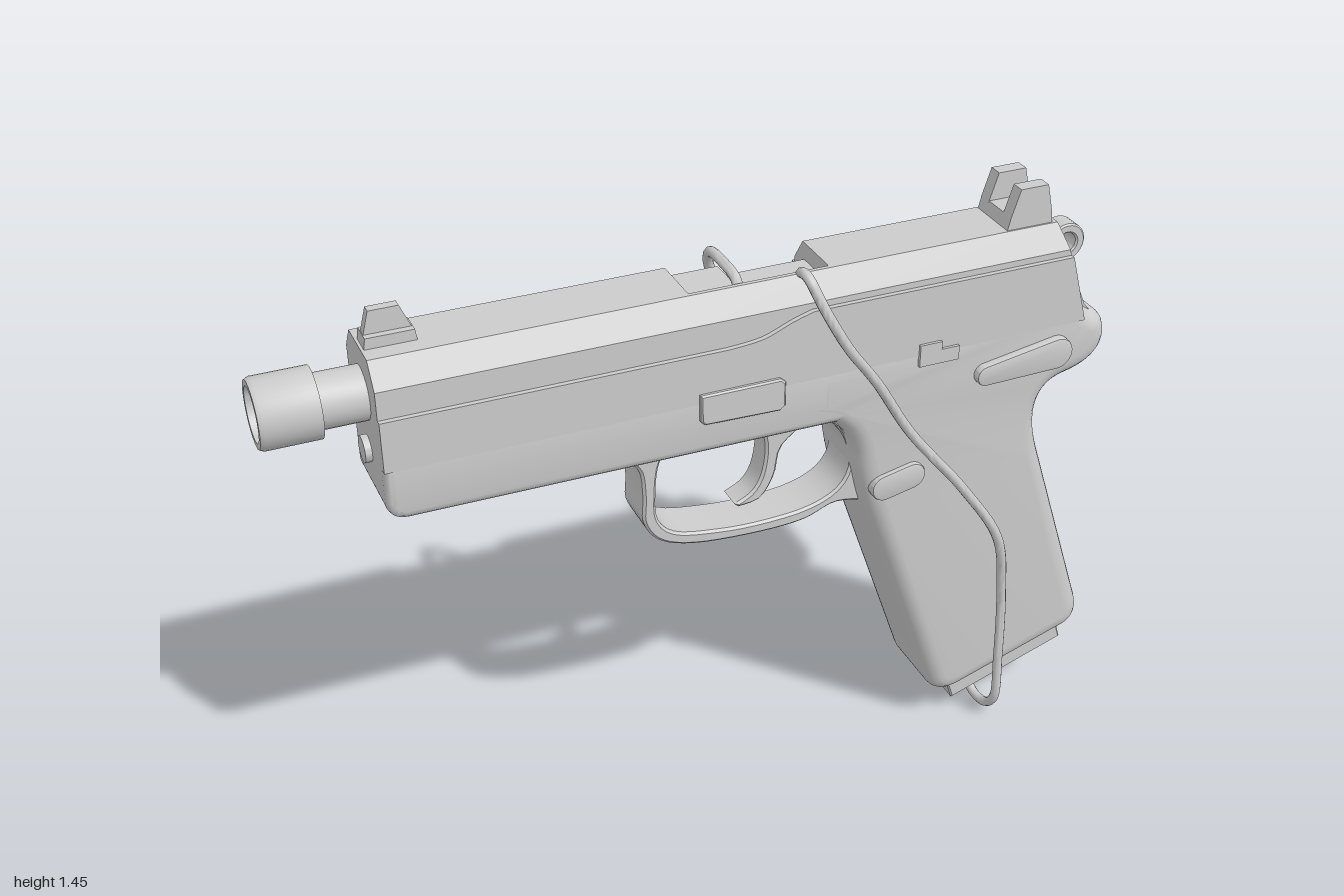
import * as THREE from 'three';
import { toCreasedNormals } from 'three/addons/utils/BufferGeometryUtils.js';

const V = (x, y, z) => new THREE.Vector3(x, y, z);
const poly = (pts) => new THREE.Shape(pts.map(([x, y]) => new THREE.Vector2(x, y)));
const smooth = (pts, n = 40) =>
  new THREE.SplineCurve(pts.map(([x, y]) => new THREE.Vector2(x, y))).getPoints(n);

export function createModel() {
  const model = new THREE.Group();
  const mat = new THREE.MeshStandardMaterial({ color: 0xcccccc });

  function add(name, geo, crease = 0.6) {
    const mesh = new THREE.Mesh(toCreasedNormals(geo, crease), mat);
    mesh.name = name;
    model.add(mesh);
    return mesh;
  }
  // Side outline in x-y, extruded from z0 to z1 with a bevel kept inside the outline
  function plate(name, shape, z0, z1, bevel = 0, segs = 1) {
    const geo = new THREE.ExtrudeGeometry(shape, {
      depth: z1 - z0 - 2 * bevel, curveSegments: 14, bevelEnabled: bevel > 0,
      bevelThickness: bevel, bevelSize: bevel, bevelOffset: -bevel, bevelSegments: segs,
    });
    return add(name, geo.translate(0, 0, z0 + bevel));
  }
  // Cross-section given as [z, y], extruded along x; the rear end may slope
  function rail(name, pts, x0, x1, slope = 0) {
    const geo = new THREE.ExtrudeGeometry(poly(pts.map(([z, y]) => [-z, y])),
      { depth: x1 - x0, bevelEnabled: false });
    geo.rotateY(Math.PI / 2).translate(x0, 0, 0);
    const p = geo.attributes.position;
    for (let i = 0; i < p.count; i++) {
      if (p.getX(i) > x1 - 0.001) p.setX(i, x1 - (p.getY(i) - 1.13) * slope);
    }
    return add(name, geo, 0.3);
  }
  // Cylinder along x
  function rod(name, r, x0, x1, y) {
    const geo = new THREE.CylinderGeometry(r, r, x1 - x0, 32).rotateZ(Math.PI / 2);
    return add(name, geo.translate((x0 + x1) / 2, y, 0));
  }

  // Frame under the slide
  const frame = new THREE.Shape();
  frame.moveTo(-0.77, 1.14);
  frame.lineTo(-0.77, 1.04);
  frame.quadraticCurveTo(-0.77, 0.995, -0.72, 0.995);
  frame.lineTo(0.6, 0.985);
  frame.lineTo(0.86, 1.0);
  frame.lineTo(0.88, 1.14);
  plate('frame', frame, -0.119, 0.119, 0.02, 3);

  // Grip with rear tang
  const grip = new THREE.Shape();
  grip.moveTo(0.2, 1.14);
  grip.lineTo(0.2, 0.995);
  grip.quadraticCurveTo(0.31, 0.985, 0.33, 0.87);
  grip.quadraticCurveTo(0.345, 0.77, 0.375, 0.69);
  grip.lineTo(0.565, 0.15);
  grip.quadraticCurveTo(0.585, 0.08, 0.66, 0.105);
  grip.lineTo(0.95, 0.2);
  grip.quadraticCurveTo(1.01, 0.22, 0.99, 0.29);
  grip.lineTo(0.825, 0.78);
  grip.quadraticCurveTo(0.77, 0.95, 0.87, 0.97);
  grip.quadraticCurveTo(0.97, 0.99, 0.975, 1.06);
  grip.quadraticCurveTo(0.975, 1.11, 0.94, 1.125);
  grip.quadraticCurveTo(0.9, 1.14, 0.88, 1.19);
  grip.lineTo(0.7, 1.19);
  grip.lineTo(0.5, 1.14);
  plate('grip', grip, -0.12, 0.12, 0.045, 5);

  // Slide sides: the ledge rises in a curve on the left, in a step on the right
  const bottom = [[-0.77, 1.12], [0.9, 1.12], [0.852, 1.29]];
  const ramp = smooth([[0.2, 1.29], [0.15, 1.275], [0.08, 1.248], [0.0, 1.24]], 12).map((p) => [p.x, p.y]);
  plate('slideSideLeft', poly([...bottom, ...ramp, [-0.77, 1.24]]), 0, 0.121);
  plate('slideSideRight', poly([...bottom, [0.26, 1.29], [0.26, 1.24], [-0.77, 1.24]]), -0.121, 0);

  // Slide top, opened at the ejection port
  const crown = [[0.109, 1.13], [0.109, 1.305], [0.07, 1.36], [-0.07, 1.36], [-0.109, 1.305], [-0.109, 1.13]];
  rail('slideFront', crown, -0.77, -0.07);
  rail('slideRear', crown, 0.26, 0.9, 0.3);
  rail('slidePortWall', [[0.109, 1.13], [0.109, 1.305], [0.07, 1.36], [0.06, 1.36], [0.06, 1.13]], -0.07, 0.26);
  const hood = (y) => [[0.06, 1.13], [0.06, y], [-0.06, y], [-0.098, 1.295], [-0.098, 1.13]];
  rail('barrelHood', hood(1.345), -0.07, 0.05);
  rail('barrelBreech', hood(1.32), 0.05, 0.26);
  plate('extractor', poly([[0.27, 1.255], [0.45, 1.255], [0.45, 1.28], [0.27, 1.28]]), -0.126, -0.11);

  // Barrel, hollow muzzle collar and guide rod
  rod('barrel', 0.06, -0.9, -0.7, 1.25);
  const collar = [[0.06, 0], [0.078, 0], [0.078, 0.12], [0.073, 0.13], [0.06, 0.13], [0.06, 0.01], [0, 0.01]];
  const collarGeo = new THREE.LatheGeometry(collar.map(([r, h]) => new THREE.Vector2(r, h)), 40);
  add('muzzleCollar', collarGeo.rotateZ(Math.PI / 2).translate(-0.87, 1.25, 0));
  rod('guideRod', 0.03, -0.785, -0.7, 1.115);

  // Sights
  plate('frontSightBase', poly([[-0.765, 1.35], [-0.65, 1.35], [-0.655, 1.385], [-0.76, 1.385]]), -0.027, 0.027);
  plate('frontSightBlade', poly([[-0.76, 1.38], [-0.655, 1.38], [-0.68, 1.437], [-0.745, 1.437]]), -0.011, 0.011);
  plate('rearSightBase', poly([[0.7, 1.35], [0.82, 1.35], [0.815, 1.39], [0.71, 1.39]]), -0.066, 0.066);
  for (const z of [-0.066, 0.032]) {
    plate('rearSightPost', poly([[0.708, 1.385], [0.816, 1.385], [0.8, 1.455], [0.73, 1.455]]), z, z + 0.034);
  }

  // Ring hammer and the block it pivots in
  const ring = new THREE.Shape();
  ring.absarc(0.892, 1.275, 0.048, 0, Math.PI * 2);
  const eye = new THREE.Path();
  eye.absarc(0.892, 1.275, 0.025, 0, Math.PI * 2, true);
  ring.holes.push(eye);
  plate('hammerRing', ring, -0.027, 0.027, 0.004);
  plate('hammerStem', poly([[0.84, 1.12], [0.925, 1.12], [0.9, 1.18], [0.885, 1.235], [0.84, 1.25]]), -0.027, 0.027);
  for (const s of [-1, 1]) {
    const z = s > 0 ? 0.03 : -0.09;
    plate('hammerBlock', poly([[0.82, 1.1], [0.95, 1.1], [0.915, 1.145], [0.895, 1.19], [0.82, 1.19]]), z, z + 0.06);
  }

  // Trigger guard
  const guard = poly([[-0.27, 1.0],
    ...smooth([[-0.24, 0.985], [-0.19, 0.945], [-0.18, 0.87], [-0.18, 0.8], [-0.14, 0.742], [-0.05, 0.71],
      [0.1, 0.698], [0.22, 0.703], [0.3, 0.73], [0.37, 0.72]]).map((p) => [p.x, p.y]), [0.4, 1.0]]);
  const opening = smooth([[-0.11, 0.985], [-0.14, 0.95], [-0.15, 0.87], [-0.145, 0.8], [-0.1, 0.755], [0, 0.735],
    [0.1, 0.728], [0.22, 0.735], [0.3, 0.765], [0.335, 0.82], [0.325, 0.89], [0.29, 0.95], [0.23, 0.985]]);
  guard.holes.push(new THREE.Path(opening.reverse()));
  plate('triggerGuard', guard, -0.06, 0.06, 0.006);

  // Trigger
  plate('trigger', new THREE.Shape([
    ...smooth([[0.1, 1.0], [0.13, 0.93], [0.125, 0.85], [0.1, 0.8], [0.055, 0.775]], 14),
    ...smooth([[0.065, 0.765], [0.12, 0.775], [0.155, 0.83], [0.17, 0.9], [0.22, 0.945], [0.28, 1.0]], 16),
  ]), -0.035, 0.035, 0.006);

  // Controls on both sides: tapered pills between two circles, and stepped catches
  function pill(name, a, b, ra, rb, s, out) {
    const angle = Math.atan2(b[1] - a[1], b[0] - a[0]);
    const shape = new THREE.Shape();
    shape.absarc(a[0], a[1], ra, angle + Math.PI / 2, angle + Math.PI * 1.5);
    shape.absarc(b[0], b[1], rb, angle - Math.PI / 2, angle + Math.PI / 2);
    plate(name, shape, s > 0 ? 0.1 : -out, s > 0 ? out : -0.1, 0.006, 2);
  }
  for (const s of [-1, 1]) {
    const side = (out) => (s > 0 ? [0.1, out] : [-out, -0.1]);
    pill('safetyLever', [0.64, 1.038], [0.825, 1.055], 0.026, 0.04, s, 0.14);
    pill('magazineRelease', [0.395, 0.79], [0.465, 0.805], 0.034, 0.034, s, 0.132);
    plate('slideCatch', poly([[0.465, 1.095], [0.565, 1.095], [0.565, 1.13], [0.52, 1.13], [0.52, 1.15], [0.465, 1.15]]),
      ...side(0.128));
  }
  plate('takedownLever', poly([[-0.07, 1.08], [-0.06, 1.07], [0.12, 1.065], [0.132, 1.075], [0.132, 1.135],
    [0.12, 1.145], [-0.07, 1.145]]), 0.1, 0.131, 0.004);
  for (const [x, y, r] of [[0, 1.1, 0.035], [0.15, 1.085, 0.014]]) {
    const pin = new THREE.Shape();
    pin.absarc(x, y, r, 0, Math.PI * 2);
    plate('framePin', pin, -0.126, -0.1, 0.003);
  }

  // Magazine base below the grip
  plate('magazineBase', poly([[0.655, 0.045], [0.968, 0.15], [0.94, 0.24], [0.625, 0.135]]), -0.081, 0.081, 0.004);

  // Lock cable, out of the port and down each side to the magazine base
  const cables = {
    cableLeft: [V(0.2, 1.3, 0.04), V(0.19, 1.362, 0.07), V(0.19, 1.365, 0.105), V(0.215, 1.3, 0.14), V(0.27, 1.2, 0.152),
      V(0.35, 1.09, 0.143), V(0.45, 0.93, 0.134), V(0.6, 0.74, 0.144), V(0.7, 0.58, 0.153), V(0.735, 0.4, 0.14),
      V(0.74, 0.2, 0.147), V(0.74, 0.07, 0.147), V(0.74, 0.023, 0.105), V(0.74, 0.015, 0.045),
      V(0.74, 0.04, 0.008), V(0.74, 0.1, 0)],
    cableRight: [V(0.05, 1.3, 0.05), V(0.05, 1.355, 0.045), V(0.05, 1.368, -0.03), V(0.05, 1.362, -0.1), V(0.06, 1.32, -0.135),
      V(0.09, 1.24, -0.145), V(0.16, 1.1, -0.143), V(0.27, 0.98, -0.135), V(0.43, 0.84, -0.145),
      V(0.52, 0.71, -0.143), V(0.58, 0.56, -0.135), V(0.7, 0.36, -0.137), V(0.83, 0.19, -0.143),
      V(0.875, 0.11, -0.13), V(0.89, 0.07, -0.08), V(0.885, 0.07, -0.03), V(0.86, 0.11, 0), V(0.85, 0.15, 0)],
  };
  for (const [name, pts] of Object.entries(cables)) {
    add(name, new THREE.TubeGeometry(new THREE.CatmullRomCurve3(pts), 150, 0.012, 10), 1.2);
  }
  return model;
}
